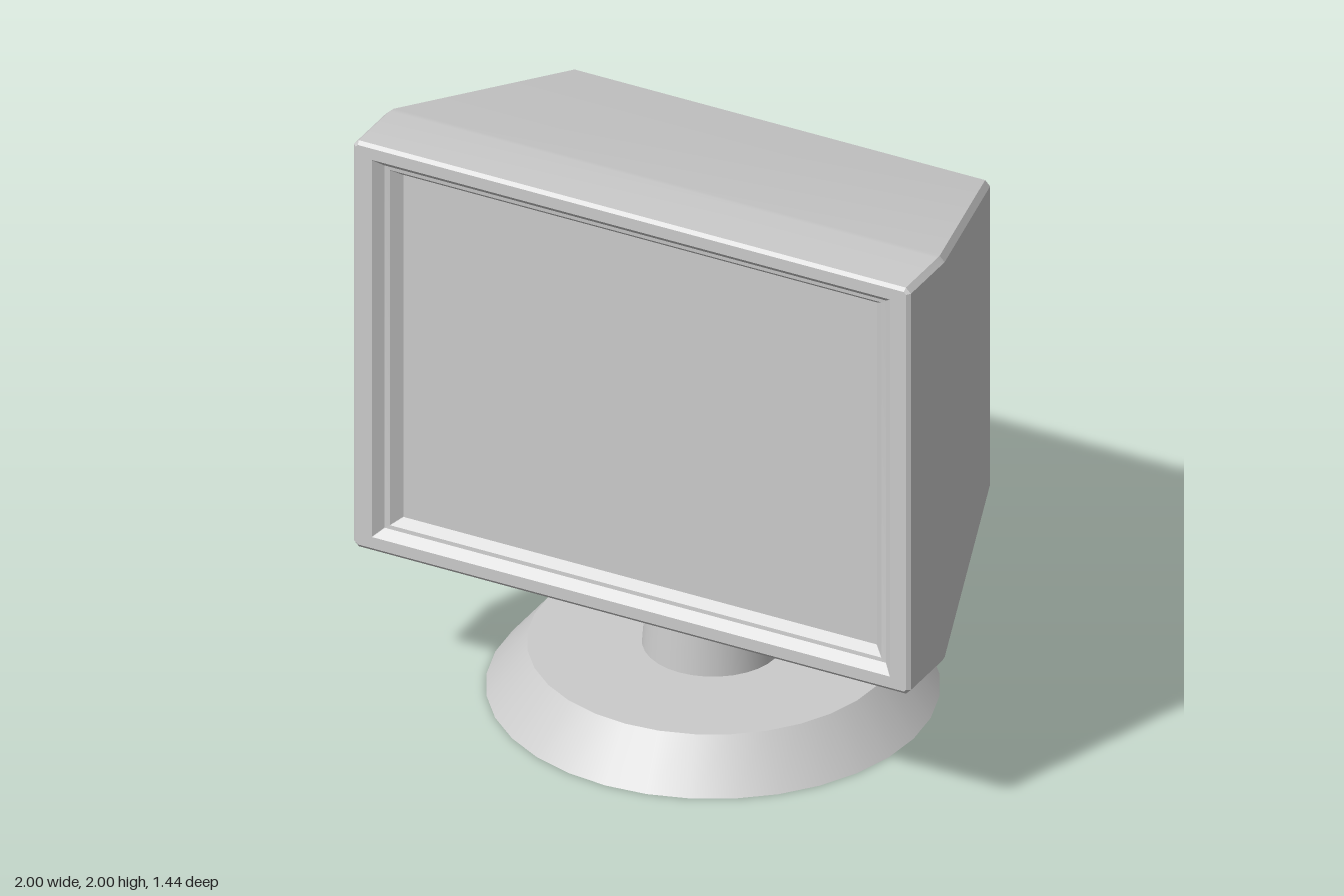
import * as THREE from 'three';
import { toCreasedNormals } from 'three/addons/utils/BufferGeometryUtils.js';

const CENTRE_Y = 1.257;

// Rectangle loop with chamfered corners, counter-clockwise seen from the front
function loop(hx, hy, z, c) {
  const corners = [[1, 1], [-1, 1], [-1, -1], [1, -1]];
  return corners.flatMap(([sx, sy], i) => {
    const a = [sx * hx, sy * (hy - c), z];
    const b = [sx * (hx - c), sy * hy, z];
    return i % 2 ? [b, a] : [a, b];
  });
}

// Skin successive loops, optionally closing the first and last
function loft(loops, capStart, capEnd) {
  const n = loops[0].length;
  const index = [];
  for (let r = 0; r < loops.length - 1; r++) {
    for (let i = 0; i < n; i++) {
      const a = r * n + i, b = r * n + (i + 1) % n;
      index.push(a, b, b + n, a, b + n, a + n);
    }
  }
  const last = (loops.length - 1) * n;
  for (let i = 1; i < n - 1; i++) {
    if (capStart) index.push(0, i + 1, i);
    if (capEnd) index.push(last, last + i, last + i + 1);
  }
  const g = new THREE.BufferGeometry();
  g.setAttribute('position', new THREE.Float32BufferAttribute(loops.flat(2), 3));
  g.setIndex(index);
  return toCreasedNormals(g, 0.15);
}

export function createModel() {
  const group = new THREE.Group();
  const grey = new THREE.MeshStandardMaterial({ color: 0xcccccc });
  const add = (name, geometry, y) => {
    const mesh = new THREE.Mesh(geometry, grey);
    mesh.name = name;
    mesh.position.y = y;
    group.add(mesh);
  };

  // Tapered casing, running from the back panel to the stepped front bezel
  add('casing', loft([
    loop(0.738, 0.546, -0.46, 0.008),
    loop(0.755, 0.563, -0.448, 0.018),
    loop(0.998, 0.741, 0.31, 0.018),
    loop(1.0, 0.743, 0.33, 0.018),
    loop(1.0, 0.743, 0.54, 0.018),
    loop(0.988, 0.731, 0.55, 0.008),
    loop(0.93, 0.69, 0.55, 0.001),
    loop(0.9, 0.663, 0.52, 0.001),
    loop(0.882, 0.65, 0.518, 0.001),
    loop(0.85, 0.626, 0.488, 0.001),
  ], true, false), CENTRE_Y);

  // Flat screen at the bottom of the recess
  add('screen', new THREE.PlaneGeometry(1.7, 1.252).translate(0, 0, 0.488), CENTRE_Y);

  // Round stand
  add('neck', new THREE.CylinderGeometry(0.18, 0.225, 0.59, 32), 0.455);
  add('base', new THREE.CylinderGeometry(0.59, 0.72, 0.16, 32), 0.08);

  return group;
}
